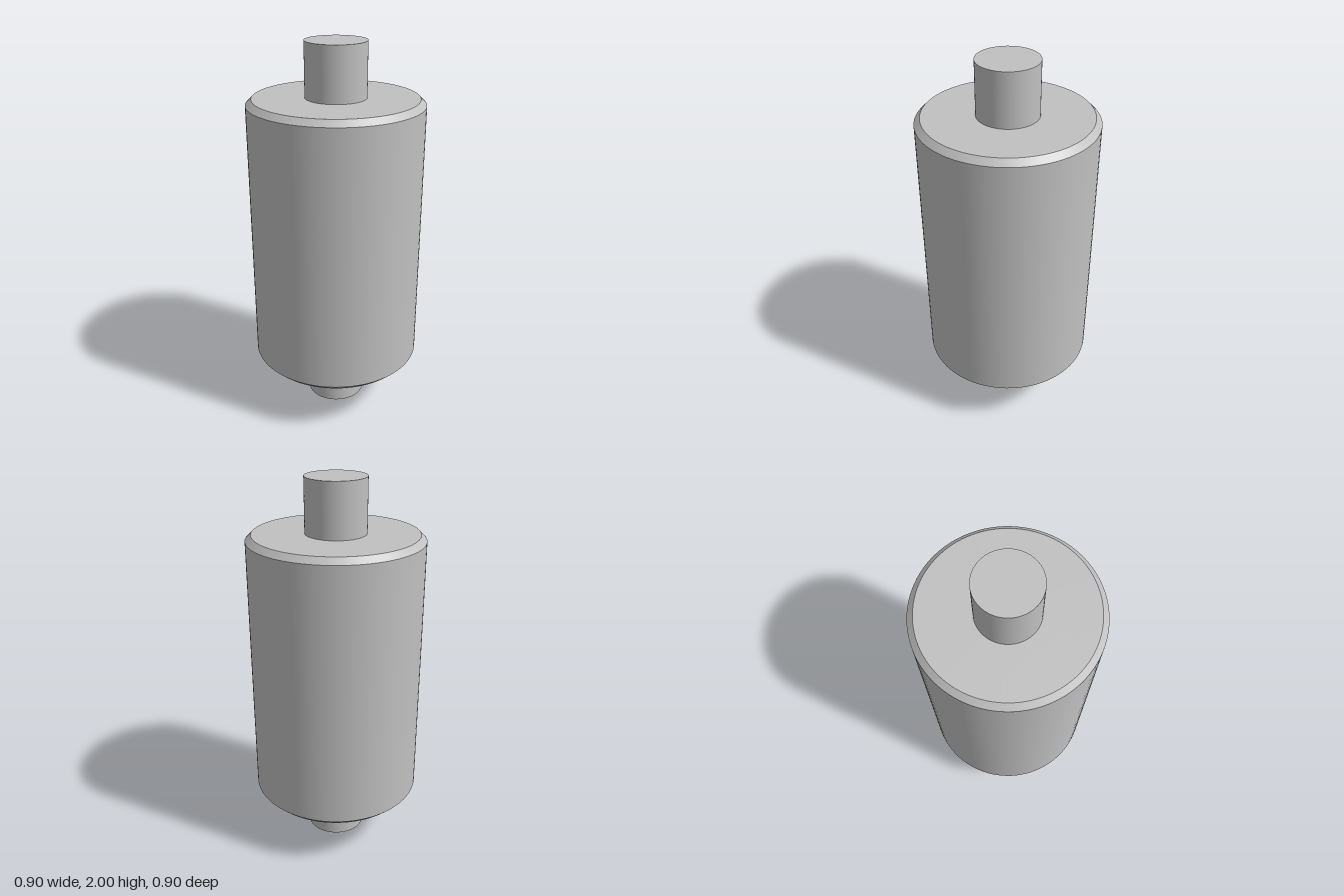
import * as THREE from 'three';

const SEGMENTS = 96;

export function createModel() {
  const model = new THREE.Group();
  const grey = new THREE.MeshStandardMaterial({ color: 0xc0c0c0 });
  grey.name = 'plain grey';

  const add = (name, geometry, y) => {
    const mesh = new THREE.Mesh(geometry, grey);
    mesh.name = name;
    mesh.position.y = y;
    model.add(mesh);
  };

  const radius = 0.45, chamfer = 0.03, half = 0.723, middle = 1;
  const shaftRadius = 0.156, stub = 1 - half;

  // Drum wall
  const wall = half - chamfer;
  add('drum', new THREE.CylinderGeometry(radius, radius, 2 * wall, SEGMENTS, 1, true), middle);

  // Chamfered rims, flat end faces and shaft stubs, mirrored top and bottom
  for (const [side, s] of [['upper', 1], ['lower', -1]]) {
    const inner = radius - chamfer;
    add(side + 'Chamfer', new THREE.CylinderGeometry(
      s > 0 ? inner : radius, s > 0 ? radius : inner, chamfer, SEGMENTS, 1, true),
      middle + s * (half - chamfer / 2));

    const face = new THREE.RingGeometry(shaftRadius, inner, SEGMENTS);
    face.rotateX(-s * Math.PI / 2);
    add(side + 'EndFace', face, middle + s * half);

    add(side + 'Shaft', new THREE.CylinderGeometry(shaftRadius, shaftRadius, stub, SEGMENTS),
      middle + s * (half + stub / 2));
  }
  return model;
}
